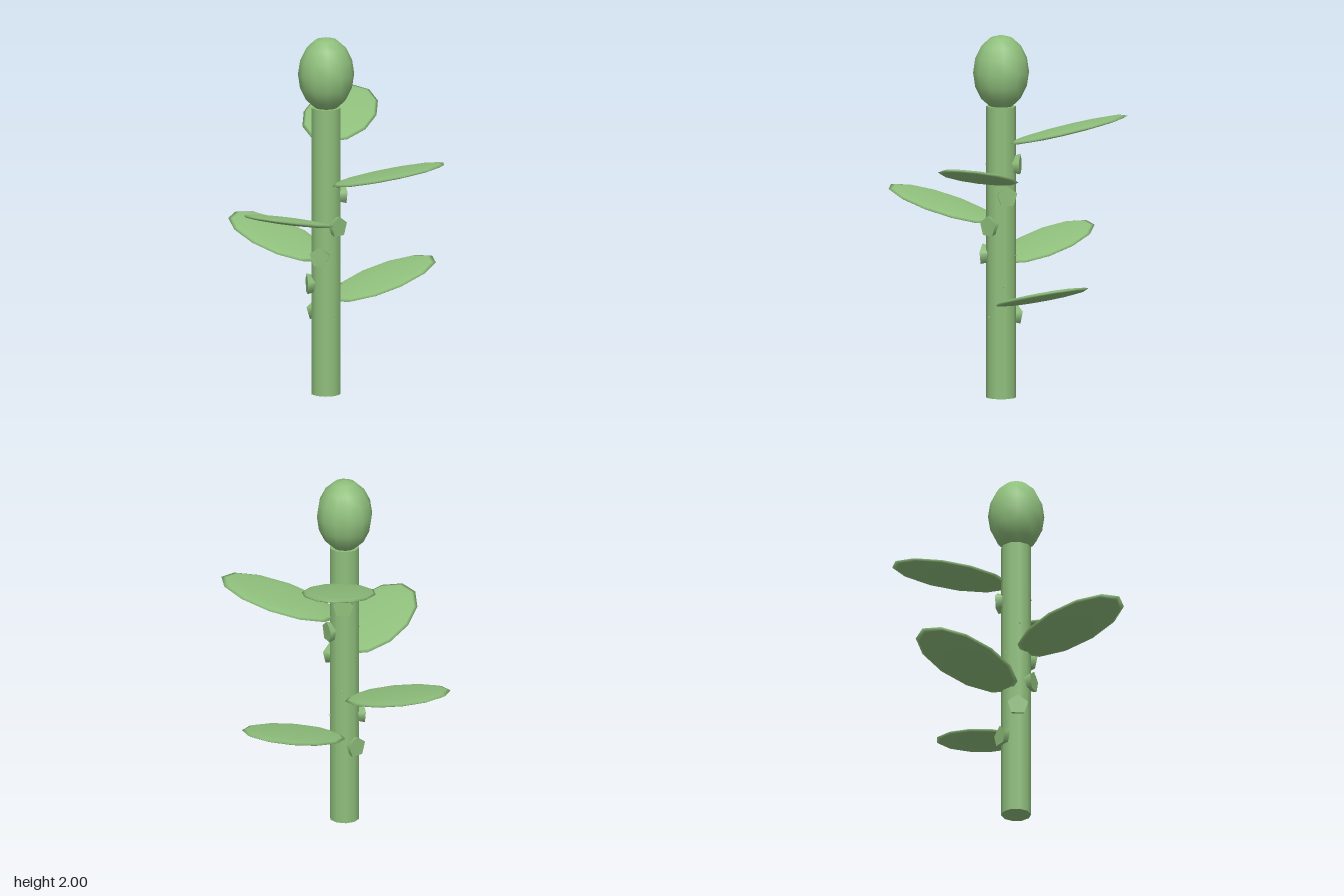
import * as THREE from 'three';

export function createModel() {
  const model = new THREE.Group();
  model.name = 'plant';
  const green = new THREE.MeshStandardMaterial({ color: 0x8fbf7c });

  // Everything grows around the stem axis
  const plant = new THREE.Group();
  plant.name = 'stalk';
  plant.position.set(-0.028, 0, 0.043);
  model.add(plant);

  const add = (name, geometry, y, turn = 0) => {
    const mesh = new THREE.Mesh(geometry, green);
    mesh.name = name;
    mesh.position.y = y;
    mesh.rotation.y = turn;
    plant.add(mesh);
  };

  // Stem and the egg-shaped bud on top
  add('stem', new THREE.CylinderGeometry(0.082, 0.082, 1.607, 10), 1.607 / 2);
  add('bud', new THREE.SphereGeometry(1, 12, 8).scale(0.154, 0.206, 0.154), 1.794);

  // Leaves: flat ellipsoids tilted upward, spiralling up the stem
  const leaf = new THREE.SphereGeometry(1, 12, 8)
    .scale(0.34, 0.02, 0.203)
    .rotateZ(0.25)
    .translate(0.369, 0, 0);
  for (let i = 0; i < 5; i++) {
    add(`leaf${i + 1}`, leaf, 0.595 + i * 0.2225, THREE.MathUtils.degToRad(101 * i));
  }

  // Thorns: five-sided cones through the stem, base on one side and tip on the other
  const thorn = new THREE.ConeGeometry(0.06, 0.2, 5)
    .rotateX(-Math.PI / 2)
    .translate(0, 0, 0.006);
  for (let i = 0; i < 6; i++) {
    add(`thorn${i + 1}`, thorn, 0.45 + i * 0.167, Math.PI + i * 1.1);
  }

  return model;
}
